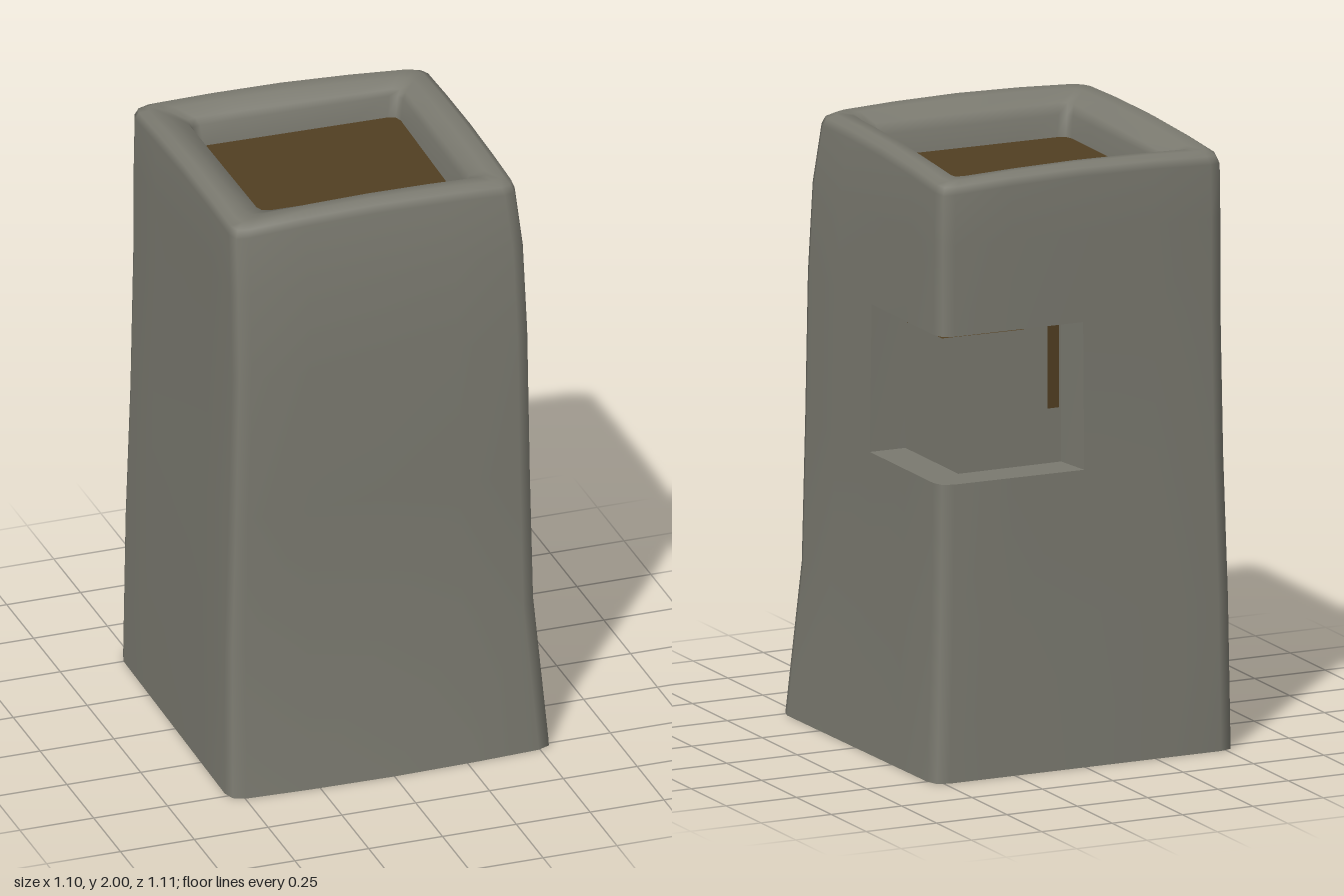
import * as THREE from 'three';

const stone = new THREE.MeshStandardMaterial({ color: 0x7b7a70, side: THREE.DoubleSide });
stone.name = 'stone';
const earth = new THREE.MeshStandardMaterial({ color: 0x523f22, side: THREE.DoubleSide });
earth.name = 'earth';

const CENTER = [-0.01, -0.05];
const NOTCH_LOW = 2, NOTCH_FROM = 8, NOTCH_TO = 14; // level and columns of the corner recess

// Rounded four-sided ring through corners [x, z, y]: front left, front right, back right, back left
function ring(corners, bulge = 0, lift = 0) {
  const pts = [];
  corners.forEach((a, s) => {
    const b = corners[(s + 1) % 4];
    for (const t of [0.05, 0.25, 0.5, 0.75, 0.95]) {
      const swell = Math.sin(Math.PI * t);
      pts.push(new THREE.Vector3(
        a[0] + (b[0] - a[0]) * t,
        a[2] + (b[2] - a[2]) * t + lift * swell,
        a[1] + (b[1] - a[1]) * t + (s === 0 ? bulge * swell : 0)));
    }
    pts.push(new THREE.Vector3(
      b[0] + (CENTER[0] - b[0]) * 0.025, b[2], b[1] + (CENTER[1] - b[1]) * 0.025));
  });
  return pts;
}

const level = (y, corners) => corners.map(([x, z]) => [x, z, y]);
const inset = (corners, k, dy) => corners.map(([x, z, y]) =>
  [x + (CENTER[0] - x) * k, z + (CENTER[1] - z) * k, y + dy]);

// Smooth surface between successive rows of points
function loft(rows, closed, skip = () => false) {
  const n = rows[0].length, index = [];
  for (let i = 0; i < rows.length - 1; i++) {
    for (let j = 0; j < (closed ? n : n - 1); j++) {
      if (skip(i, j)) continue;
      const k = (j + 1) % n;
      const a = i * n + j, b = i * n + k, c = a + n, d = b + n;
      index.push(a, b, d, a, d, c);
    }
  }
  const g = new THREE.BufferGeometry().setFromPoints(rows.flat());
  g.setIndex(index);
  g.computeVertexNormals();
  return g;
}

// Flat horizontal polygon from [x, z] points
function slab(points, y) {
  const shape = new THREE.Shape(points.map(([x, z]) => new THREE.Vector2(x, -z)));
  return new THREE.ShapeGeometry(shape).rotateX(-Math.PI / 2).translate(0, y, 0);
}

export function createModel() {
  const group = new THREE.Group();
  const add = (name, geometry, material) => {
    const mesh = new THREE.Mesh(geometry, material);
    mesh.name = name;
    group.add(mesh);
  };

  // Tapered wall, rounded rim and shallow well
  const top = [[-0.5, 0.43, 1.94], [0.465, 0.435, 1.945], [0.492, -0.515, 1.915], [-0.495, -0.555, 1.925]];
  const well = [[-0.34, 0.265], [0.335, 0.285], [0.35, -0.385], [-0.335, -0.4]];
  const rows = [
    ring(level(0, [[-0.55, 0.535], [0.55, 0.53], [0.535, -0.555], [-0.535, -0.555]]), 0.02),
    ring(level(0.5, [[-0.535, 0.49], [0.51, 0.49], [0.51, -0.53], [-0.53, -0.545]]), 0.01),
    ring(level(0.97, [[-0.52, 0.485], [0.5, 0.485], [0.5, -0.52], [-0.515, -0.54]]), 0.005),
    ring(level(1.455, [[-0.505, 0.475], [0.495, 0.475], [0.497, -0.52], [-0.505, -0.54]]), 0.005),
    ring(level(1.75, [[-0.502, 0.455], [0.485, 0.46], [0.495, -0.515], [-0.5, -0.55]]), 0.005),
    ring(top, 0, 0.015),
    ring(inset(top, 0.02, 0.025), 0, 0.015),
    ring(inset(top, 0.07, 0.04), 0, 0.015),
    ring(inset(top, 0.16, 0.04), 0, 0.01),
    ring([[-0.36, 0.29, 1.955], [0.355, 0.31, 1.955], [0.375, -0.41, 1.935], [-0.355, -0.43, 1.94]]),
    ring(inset(level(1.92, well), -0.03, 0)),
    ring(level(1.85, well)),
  ];
  add('towerWall', loft(rows, true, (i, j) =>
    i === NOTCH_LOW && j >= NOTCH_FROM && j < NOTCH_TO), stone);

  // Earth floor inside the rim
  add('wellFloor', slab(rows[rows.length - 1].map(p => [p.x, p.z]), 1.85), earth);

  // Recess wrapping the back corner: ledge, ceiling and inner walls
  const px = 0.375, pz = -0.4;
  const inner = [[0.01, pz], [px, pz], [px, -0.02]];
  const edges = [rows[NOTCH_LOW], rows[NOTCH_LOW + 1]].map(r =>
    r.slice(NOTCH_FROM, NOTCH_TO + 1).map(p => [p.x, p.z]));
  const heights = [0.97, 1.455];
  ['recessLedge', 'recessCeiling'].forEach((name, i) =>
    add(name, slab([...edges[i], ...inner], heights[i]), stone));
  const paths = edges.map(e => [e[0], inner[2], inner[1], inner[0], e[e.length - 1]]);
  for (let s = 0; s < 4; s++) {
    const strip = paths.map((p, i) => [p[s], p[s + 1]].map(([x, z]) =>
      new THREE.Vector3(x, heights[i], z)));
    add('recessWall', loft(strip, false), stone);
  }

  // Earth showing at the top of the recess
  add('recessCeilingEarth', slab([
    [px, -0.14], [0.48, -0.24], [0.485, -0.505], [0.2, -0.515], [0.1, pz], [px, pz]], 1.45), earth);
  const sideEarth = new THREE.Shape([[0.03, 1.452], [0.045, 1.385], [0.08, 1.43], [0.11, 1.445],
    [0.15, 1.42], [0.25, 1.425], [0.38, 1.435], [0.38, 1.452]].map(([x, y]) => new THREE.Vector2(x, y)));
  add('recessSideEarth', new THREE.ShapeGeometry(sideEarth)
    .rotateY(Math.PI / 2).translate(px + 0.004, 0, 0), earth);
  add('recessBackEarth', new THREE.PlaneGeometry(0.04, 0.3)
    .rotateY(Math.PI).translate(0.04, 1.3, pz - 0.004), earth);
  return group;
}
